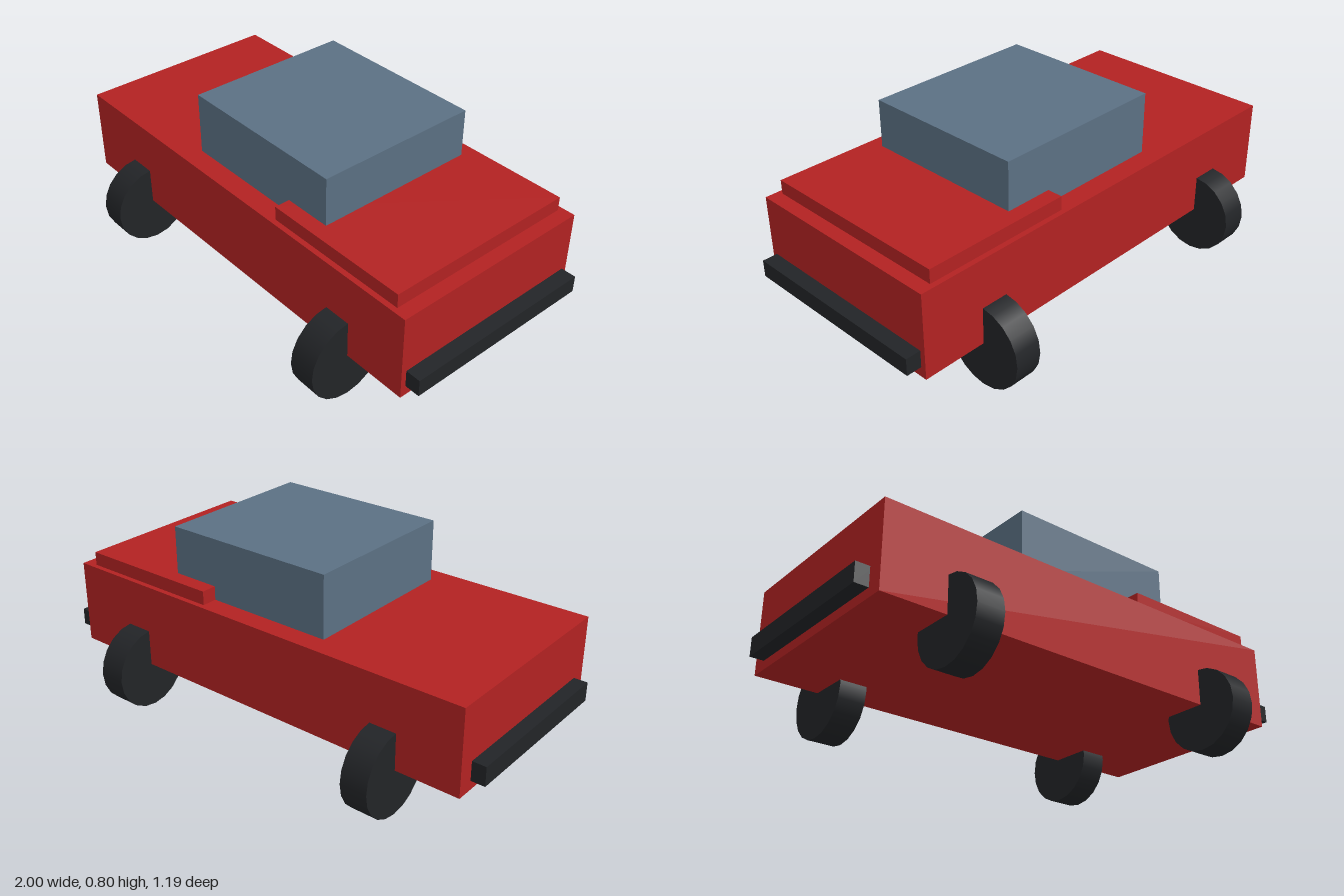
import * as THREE from 'three';

export function createModel() {
  const car = new THREE.Group();
  car.name = 'car';
  const red = new THREE.MeshStandardMaterial({ color: 0xb22222 });
  const glass = new THREE.MeshStandardMaterial({ color: 0x5b7083 });
  const black = new THREE.MeshStandardMaterial({ color: 0x222427 });

  // Box spanning x0..x1 and y0..y1, centred on z = 0
  function slab(name, x0, x1, y0, y1, depth, material) {
    const mesh = new THREE.Mesh(new THREE.BoxGeometry(x1 - x0, y1 - y0, depth), material);
    mesh.position.set((x0 + x1) / 2, (y0 + y1) / 2, 0);
    mesh.name = name;
    car.add(mesh);
  }

  // Body, with the bonnet towards +x
  slab('body', -0.943, 0.938, 0.188, 0.54, 0.862, red);
  slab('bonnet', 0.252, 0.88, 0.53, 0.597, 0.818, red);
  slab('cabin', -0.29, 0.455, 0.53, 0.795, 0.69, glass);
  slab('frontBumper', 0.93, 1, 0.23, 0.3, 0.818, black);
  slab('rearBumper', -1, -0.93, 0.226, 0.305, 0.732, black);

  // Wheels, with their axles along x
  const wheelGeometry = new THREE.CylinderGeometry(0.17, 0.17, 0.114, 20).rotateZ(Math.PI / 2);
  for (const [end, x] of [['front', 0.614], ['rear', -0.621]]) {
    for (const [side, z] of [['Right', 0.426], ['Left', -0.426]]) {
      const wheel = new THREE.Mesh(wheelGeometry, black);
      wheel.position.set(x, 0.17, z);
      wheel.name = `${end}Wheel${side}`;
      car.add(wheel);
    }
  }
  return car;
}
